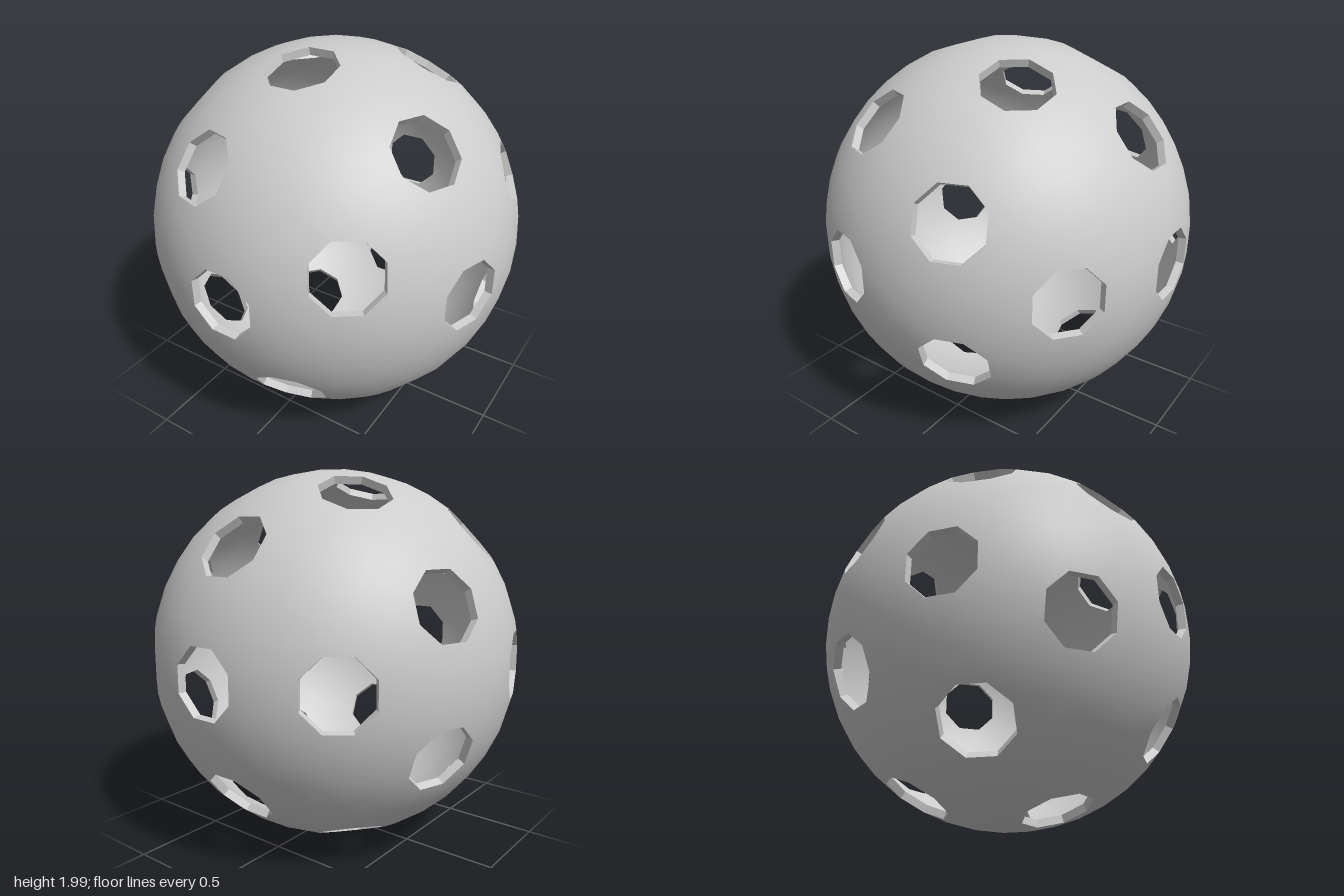
import * as THREE from 'three';
import { ConvexGeometry } from 'three/addons/geometries/ConvexGeometry.js';

const HOLE = 0.185;      // radius of each hole
const INNER = 0.96;      // inner shell radius
const SIDES = 8;

// Hole directions: two poles, two rings of four and two rings of eight
function holeDirections() {
  const dirs = [new THREE.Vector3(0, 0, 1), new THREE.Vector3(0, 0, -1)];
  const ring = (count, z, offset) => {
    const r = Math.sqrt(1 - z * z);
    for (let i = 0; i < count; i++) {
      const a = offset + (i / count) * Math.PI * 2;
      dirs.push(new THREE.Vector3(r * Math.cos(a), r * Math.sin(a), z));
    }
  };
  ring(4, 0.79, Math.PI / 8);
  ring(8, 0.3, 0);
  ring(8, -0.31, Math.PI / 8);
  ring(4, -0.78, 0);
  return dirs;
}

// Octagon of points on the unit sphere around a direction
function rimPoints(dir) {
  const side = new THREE.Vector3(0, 1, 0);
  if (Math.abs(dir.y) > 0.9) side.set(1, 0, 0);
  const u = side.cross(dir).normalize();
  const v = dir.clone().cross(u);
  const h = Math.sqrt(1 - HOLE * HOLE);
  return Array.from({ length: SIDES }, (_, i) => {
    const a = ((i + 0.5) / SIDES) * Math.PI * 2;
    return dir.clone().multiplyScalar(h)
      .addScaledVector(u, HOLE * Math.cos(a))
      .addScaledVector(v, HOLE * Math.sin(a));
  });
}

function makeGeometry(positions, normals) {
  const g = new THREE.BufferGeometry();
  g.setAttribute('position', new THREE.Float32BufferAttribute(positions, 3));
  if (normals) g.setAttribute('normal', new THREE.Float32BufferAttribute(normals, 3));
  else g.computeVertexNormals();
  return g;
}

export function createModel() {
  const group = new THREE.Group();
  group.name = 'perforatedBall';
  const plastic = new THREE.MeshStandardMaterial({ color: 0xcccccc });
  plastic.name = 'light grey plastic';

  const dirs = holeDirections();
  const rims = dirs.map(rimPoints);
  const points = rims.flat();

  // Evenly spread points between the holes
  const count = 600, limit = Math.cos(Math.asin(HOLE) + 0.05);
  for (let i = 0; i < count; i++) {
    const z = 1 - (2 * i + 1) / count, r = Math.sqrt(1 - z * z), a = i * 2.399963;
    const p = new THREE.Vector3(r * Math.cos(a), r * Math.sin(a), z);
    if (dirs.every(d => d.dot(p) < limit)) points.push(p);
  }

  // Hull of all points, leaving out the faces that cap the holes
  const hull = new ConvexGeometry(points).getAttribute('position');
  const edge = Math.cos(Math.asin(HOLE) + 0.005);
  const outer = [], outerN = [], inner = [], innerN = [];
  for (let i = 0; i < hull.count; i += 3) {
    const tri = [0, 1, 2].map(k => new THREE.Vector3().fromBufferAttribute(hull, i + k));
    if (dirs.some(d => tri.every(p => d.dot(p) > edge))) continue;
    for (const p of tri) {
      outer.push(p.x, p.y, p.z);
      outerN.push(p.x, p.y, p.z);
    }
    for (const p of tri.reverse()) {
      inner.push(p.x * INNER, p.y * INNER, p.z * INNER);
      innerN.push(-p.x, -p.y, -p.z);
    }
  }

  // Walls joining both shells around every hole, facing into the hole
  const walls = [];
  for (const rim of rims) {
    rim.forEach((a, i) => {
      const b = rim[(i + 1) % SIDES];
      const c = b.clone().multiplyScalar(INNER), d = a.clone().multiplyScalar(INNER);
      for (const p of [a, c, d, a, b, c]) walls.push(p.x, p.y, p.z);
    });
  }

  const add = (name, geometry) => {
    const mesh = new THREE.Mesh(geometry, plastic);
    mesh.name = name;
    mesh.position.y = 1;
    group.add(mesh);
  };
  add('outerShell', makeGeometry(outer, outerN));
  add('innerShell', makeGeometry(inner, innerN));
  add('holeWalls', makeGeometry(walls));
  return group;
}
